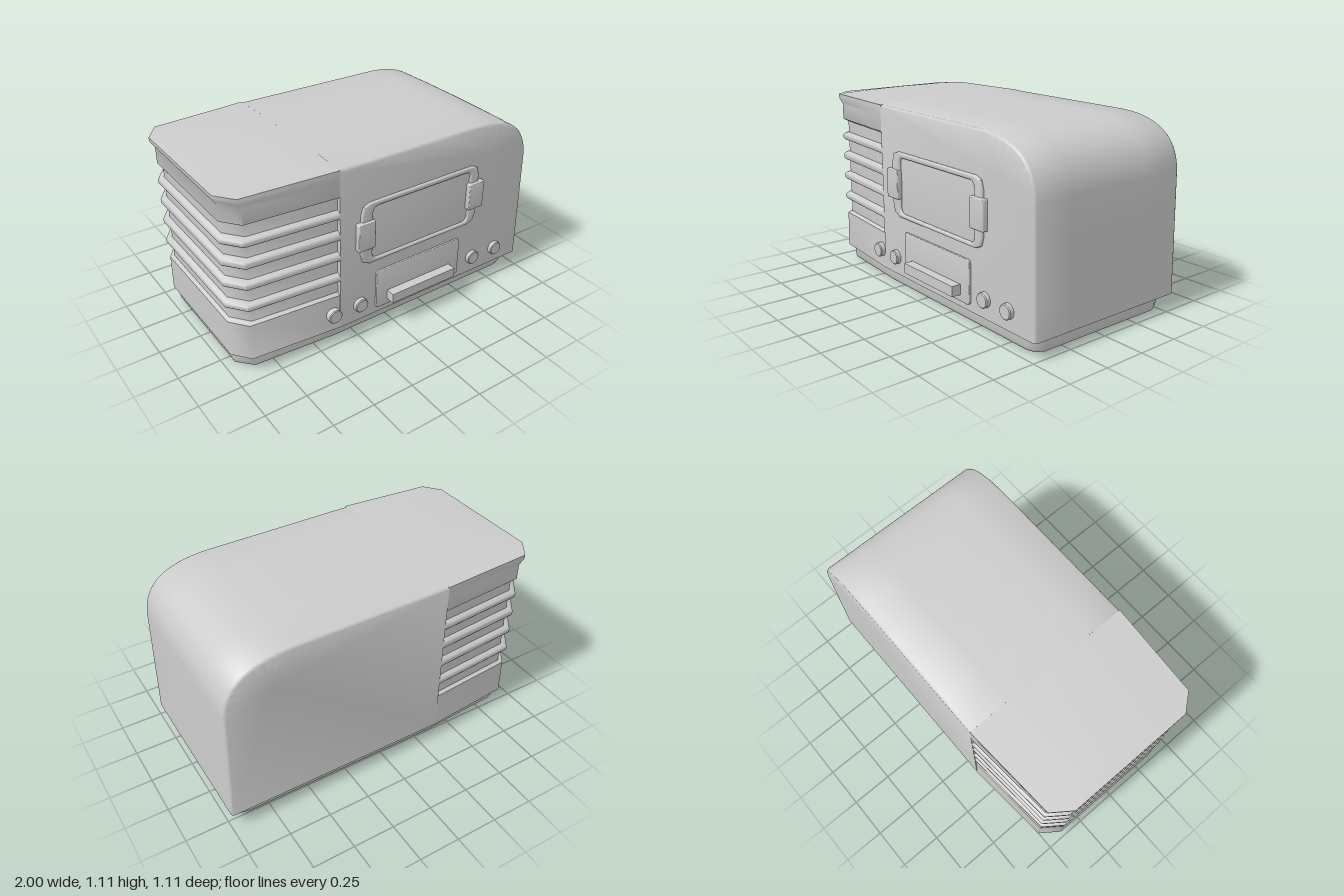
import * as THREE from 'three';
import { toCreasedNormals } from 'three/addons/utils/BufferGeometryUtils.js';

const material = new THREE.MeshStandardMaterial({ color: 0xcccccc, side: THREE.DoubleSide });
const FRONT = 0.487, BACK = -0.555, MID = -0.033, SPLIT = -0.36;

function add(parent, name, geometry, x = 0, y = 0, z = 0) {
  const mesh = new THREE.Mesh(geometry, material);
  mesh.name = name;
  mesh.position.set(x, y, z);
  parent.add(mesh);
  return mesh;
}

// Closed skin over a stack of convex rings of [x, y, z], capped at both ends.
function loft(rings, crease) {
  const pos = [];
  const n = rings[0].length;
  const centre = (r) => [0, 1, 2].map((k) => r.reduce((s, p) => s + p[k], 0) / n);
  const tri = (a, b, c) => pos.push(a, b, c);
  const first = rings[0], last = rings[rings.length - 1];
  const c0 = centre(first), c1 = centre(last);
  for (let i = 0; i < n; i++) {
    const j = (i + 1) % n;
    for (let k = 0; k + 1 < rings.length; k++) {
      const a = rings[k], b = rings[k + 1];
      tri(a[i], a[j], b[j]);
      tri(a[i], b[j], b[i]);
    }
    tri(c0, first[j], first[i]);
    tri(c1, last[i], last[j]);
  }
  // Turn the faces outward if the enclosed volume comes out negative.
  const v = pos.map((p) => new THREE.Vector3(...p));
  let volume = 0;
  for (let i = 0; i < v.length; i += 3) volume += v[i].dot(v[i + 1].clone().cross(v[i + 2]));
  if (volume < 0) for (let i = 0; i < v.length; i += 3) [v[i], v[i + 1]] = [v[i + 1], v[i]];
  return toCreasedNormals(new THREE.BufferGeometry().setFromPoints(v), crease);
}

function roundedRect(x0, y0, x1, y1, r, Type = THREE.Shape) {
  const s = new Type();
  s.moveTo(x0 + r, y0);
  s.lineTo(x1 - r, y0);
  s.quadraticCurveTo(x1, y0, x1, y0 + r);
  s.lineTo(x1, y1 - r);
  s.quadraticCurveTo(x1, y1, x1 - r, y1);
  s.lineTo(x0 + r, y1);
  s.quadraticCurveTo(x0, y1, x0, y1 - r);
  s.lineTo(x0, y0 + r);
  s.quadraticCurveTo(x0, y0, x0 + r, y0);
  return s;
}

// Plate with a softened rim; the shape is its widest outline.
function plate(shape, depth, bevel) {
  return toCreasedNormals(new THREE.ExtrudeGeometry(shape, {
    depth: depth - bevel, bevelEnabled: true, bevelThickness: bevel, bevelSize: bevel,
    bevelOffset: -bevel, bevelSegments: 3, curveSegments: 8,
  }), 0.6);
}

// Plain main cabinet with the big rounded shoulder.
function mainCabinet() {
  const path = new THREE.CurvePath();
  const V = (x, y) => new THREE.Vector2(x, y);
  const wall = new THREE.LineCurve(V(0.995, 0.1), V(0.978, 0.8));
  const shoulder = new THREE.CubicBezierCurve(V(0.978, 0.8), V(0.965, 1.0), V(0.83, 1.08), V(0.58, 1.092));
  const top = new THREE.LineCurve(V(0.58, 1.092), V(SPLIT, 1.1));
  path.curves.push(wall, shoulder, top);
  const outline = [...wall.getPoints(4), ...shoulder.getPoints(24).slice(1), ...top.getPoints(4).slice(1)];
  const layers = [[FRONT, 0.014], [FRONT - 0.004, 0.006], [FRONT - 0.014, 0], [0.25, 0],
    [MID, 0], [-0.3, 0], [BACK + 0.014, 0], [BACK + 0.004, 0.006], [BACK, 0.014]];
  const rings = layers.map(([z, inset]) => {
    const crown = 0.011 * (1 - ((z - MID) / 0.52) ** 2);
    const ring = outline.map((p, i) => {
      const a = outline[Math.max(i - 1, 0)], b = outline[Math.min(i + 1, outline.length - 1)];
      const t = b.clone().sub(a).normalize();
      const lift = crown * THREE.MathUtils.smoothstep(p.y, 0.9, 1.09);
      const nx = i === outline.length - 1 ? 0 : t.y;
      return [p.x - nx * inset, p.y + t.x * inset + lift, z];
    });
    return [...ring, [SPLIT, 0.1, z]];
  });
  return loft(rings, 0.6);
}

// Louvred end: plan outline stacked upward, stepped in at each groove.
function louvredEnd() {
  const plan = [[SPLIT, FRONT], [-0.92, 0.45], [-1, 0.35], [-1, -0.41], [-0.92, -0.52], [SPLIT, BACK]];
  const depth = 0.026;
  const levels = [[0.1, 0, 0.025]];
  const grooves = [[0.32, 0.415], [0.455, 0.55], [0.592, 0.68], [0.725, 0.81], [0.85, 0.94]];
  grooves.forEach(([lo, hi], i) => {
    const soft = 0.012;
    levels.push([lo, 0.006, 0.02], [lo + (i ? 0.008 : soft), depth, 0.02]);
    levels.push([hi - (i < 4 ? 0.008 : soft), depth, 0.02], [hi, 0.006, 0.02]);
    if (i < 4) levels.push([hi + 0.01, 0, 0.018], [grooves[i + 1][0] - 0.01, 0, 0.018]);
  });
  levels.push([0.945, 0, 0.025], [1.04, 0, 0.025], [1.07, 0, 0.004], [1.085, 0, 0], [1.1, 0, 0]);
  const rings = levels.map(([y, groove, tuck]) => plan.map(([x, z]) => {
    const corner = x < -0.9 ? 1 : 0;
    return [x + corner * (groove + tuck), y, z - Math.sign(z) * (groove + corner * tuck * 0.4)];
  }));
  // Slightly crowned top meeting along the middle.
  rings.push(plan.map(([x, z]) => [x, x < -0.95 ? 1.1 : 1.108, MID + (z - MID) * 0.5]));
  rings.push(plan.map(([x]) => [x, x < -0.95 ? 1.1 : 1.111, MID]));
  return loft(rings, 0.9);
}

// Recessed plinth under the cabinet.
function plinth() {
  const plan = [[-0.36, 0.445], [-0.87, 0.41], [-0.95, 0.32], [-0.95, -0.385], [-0.87, -0.475], [-0.36, -0.51],
    [0.88, -0.51], [0.93, -0.495], [0.955, -0.45], [0.955, 0.385], [0.93, 0.43], [0.88, 0.445]];
  const levels = [[0.004, 0.035], [0.012, 0.014], [0.03, 0.005], [0.11, 0]];
  return loft(levels.map(([y, d]) => plan.map(([x, z]) =>
    [x * (1 - d * 0.6), y, MID + (z - MID) * (1 - d * 1.6)])), 0.9);
}

export function createModel() {
  const model = new THREE.Group();
  model.name = 'tableRadio';

  const cabinet = new THREE.Group();
  cabinet.name = 'cabinet';
  model.add(cabinet);
  add(cabinet, 'mainCabinet', mainCabinet());
  add(cabinet, 'louvredEnd', louvredEnd());
  add(cabinet, 'plinth', plinth());

  // Dial window: raised frame, sunken pane and two side clasps.
  const dial = new THREE.Group();
  dial.name = 'dial';
  model.add(dial);
  const frame = new THREE.Shape([[-0.17, 0.47], [0.54, 0.47], [0.585, 0.49], [0.6, 0.54], [0.6, 0.79],
    [0.585, 0.84], [0.54, 0.856], [-0.17, 0.856], [-0.215, 0.84], [-0.23, 0.79], [-0.23, 0.54], [-0.215, 0.49]]
    .map(([x, y]) => new THREE.Vector2(x, y)));
  frame.holes.push(roundedRect(-0.155, 0.495, 0.535, 0.825, 0.04, THREE.Path));
  add(dial, 'dialFrame', plate(frame, 0.018, 0.01), 0, 0, FRONT - 0.003);
  add(dial, 'dialPane', plate(roundedRect(-0.17, 0.48, 0.55, 0.84, 0.04), 0.003, 0.001), 0, 0, FRONT - 0.001);
  for (const [name, x] of [['rightClasp', -0.205], ['leftClasp', 0.575]]) {
    add(dial, name, plate(roundedRect(-0.055, -0.085, 0.055, 0.085, 0.008), 0.038, 0.005), x, 0.665, FRONT - 0.005);
  }

  // Lower panel with its projecting bar.
  const panel = new THREE.Group();
  panel.name = 'lowerPanel';
  model.add(panel);
  add(panel, 'panelPlate', plate(roundedRect(-0.12, 0.137, 0.49, 0.39, 0.02), 0.013, 0.004), 0, 0, FRONT);
  add(panel, 'panelBar', new THREE.BoxGeometry(0.46, 0.06, 0.07), 0.185, 0.205, 0.52);

  // Four small knobs.
  const knob = toCreasedNormals(new THREE.LatheGeometry(
    [[0, -0.01], [0.043, -0.01], [0.043, 0.022], [0.038, 0.027], [0, 0.027]]
      .map(([x, y]) => new THREE.Vector2(x, y)), 28), 0.6).rotateX(Math.PI / 2);
  [-0.405, -0.228, 0.61, 0.795].forEach((x, i) => add(model, `knob${i + 1}`, knob, x, 0.208, FRONT));

  return model;
}
